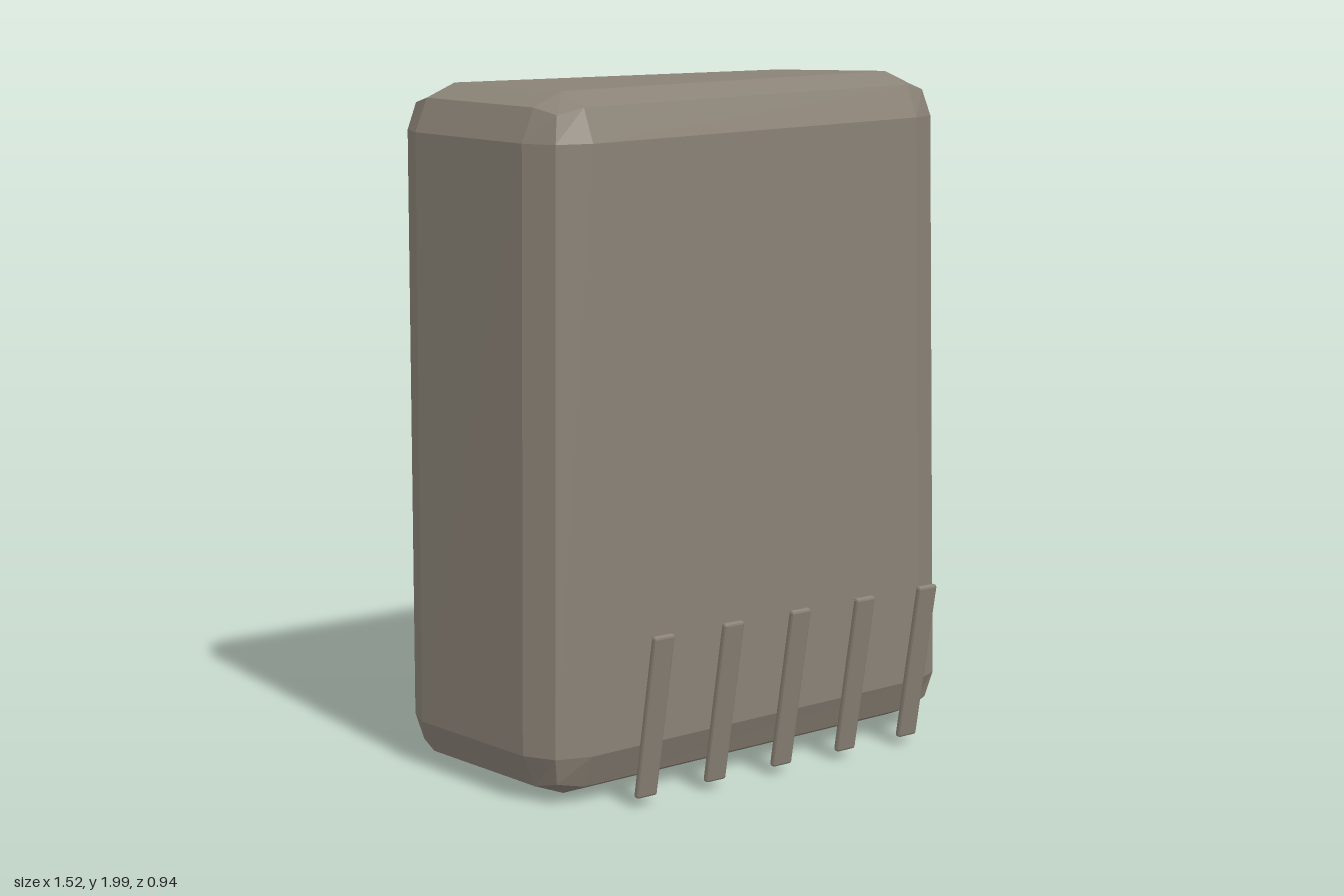
import * as THREE from 'three';
import { RoundedBoxGeometry } from 'three/addons/geometries/RoundedBoxGeometry.js';

const stone = new THREE.MeshStandardMaterial({ color: 0x8a8276 });
stone.name = 'warm grey stone';

// Corners of the slightly crooked slab: bottom then top, each back-left-side to front-right-side
const corners = [
  [-0.765, 0.0, -0.465], [0.745, 0.02, -0.46], [-0.752, 0.01, 0.295], [0.763, 0.03, 0.3],
  [-0.75, 1.977, -0.476], [0.72, 1.99, -0.465], [-0.727, 1.957, 0.292], [0.72, 2.003, 0.292],
].map((c) => new THREE.Vector3(...c));

// Bevelled box whose corners are pulled to the eight given points
function crookedBlock() {
  const w = 1.48, h = 1.98, d = 0.76;
  const geometry = new RoundedBoxGeometry(w, h, d, 1, 0.135);
  const pos = geometry.attributes.position;
  const p = new THREE.Vector3();
  for (let i = 0; i < pos.count; i++) {
    const u = pos.getX(i) / w + 0.5, v = pos.getY(i) / h + 0.5, t = pos.getZ(i) / d + 0.5;
    p.set(0, 0, 0);
    corners.forEach((c, k) => {
      const weight = (k & 1 ? u : 1 - u) * (k & 2 ? t : 1 - t) * (k & 4 ? v : 1 - v);
      p.addScaledVector(c, weight);
    });
    pos.setXYZ(i, p.x, p.y, p.z);
  }
  geometry.computeVertexNormals(); // unindexed, so the facets stay flat
  return geometry;
}

export function createModel() {
  const model = new THREE.Group();
  model.name = 'slabWithBlades';

  const slab = new THREE.Mesh(crookedBlock(), stone);
  slab.name = 'slab';
  model.add(slab);

  // Row of five thin blades leaning forward
  const blades = new THREE.Group();
  blades.name = 'blades';
  const bladeGeometry = new RoundedBoxGeometry(0.07, 0.48, 0.02, 1, 0.007);
  bladeGeometry.computeVertexNormals();
  for (let i = -2; i <= 2; i++) {
    const blade = new THREE.Mesh(bladeGeometry, stone);
    blade.name = `blade${i + 3}`;
    blade.position.set(i * 0.247, 0.265, 0.42);
    blade.rotation.x = 0.175;
    blades.add(blade);
  }
  model.add(blades);
  return model;
}
